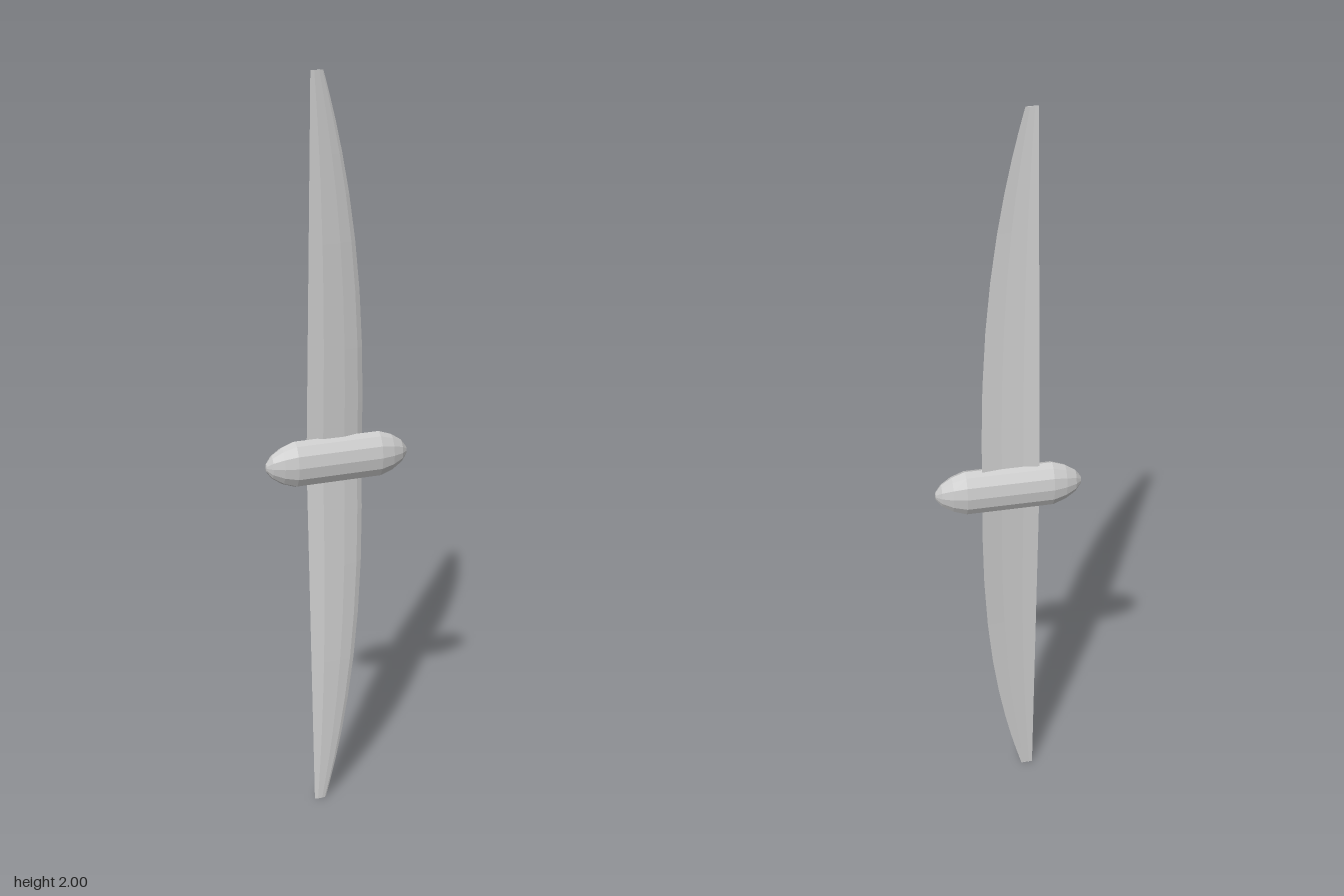
import * as THREE from 'three';

const material = new THREE.MeshStandardMaterial({ color: 0xcccccc, flatShading: true, side: THREE.DoubleSide });

// Skins a list of closed rings (equal point counts) and caps both ends.
function loft(rings) {
  const n = rings[0].length;
  const positions = rings.flat(2);
  const index = [];
  for (let r = 0; r < rings.length - 1; r++) {
    for (let i = 0; i < n; i++) {
      const j = (i + 1) % n;
      const a = r * n + i, b = r * n + j, c = a + n, d = b + n;
      index.push(a, c, b, b, c, d);
    }
  }
  const last = (rings.length - 1) * n;
  for (let i = 1; i < n - 1; i++) {
    index.push(0, i, i + 1, last, last + i + 1, last + i);
  }
  const geometry = new THREE.BufferGeometry();
  geometry.setAttribute('position', new THREE.Float32BufferAttribute(positions, 3));
  geometry.setIndex(index);
  geometry.computeVertexNormals();
  return geometry;
}

// Thin cambered section: [chord fraction from trailing edge, offset in z per chord]
const SECTION = [
  [0, 0], [0.27, 0.025], [0.65, 0.025], [1, 0], [0.9, 0.045], [0.65, 0.08], [0.27, 0.075],
];

// Blade: straight trailing edge, curved leading edge, both halves swept to +z
function bladeGeometry() {
  const spans = [0, 0.15, 0.3, 0.45, 0.58, 0.7, 0.8, 0.88, 0.94, 0.98, 1];
  const stations = [...spans.slice(1).reverse().map((s) => -s), ...spans];
  const trailing = -0.08;
  return loft(stations.map((t) => {
    const s = Math.abs(t);
    const chord = 0.072 - 0.12 * Math.pow(s, 2.5) - trailing;
    const z = -0.014 + 0.051 * s;
    return SECTION.map(([u, w]) => [trailing + u * chord, 1 + t, z + w * chord]);
  }));
}

// Pod: twelve-sided, with an elliptical section and tapered ends
function podGeometry() {
  const half = [[0, 0.195], [0.17, 0.193], [0.5, 0.178], [0.8, 0.15], [1, 0.115]];
  const profile = [
    ...half.map(([r, x]) => new THREE.Vector2(r, -x)),
    ...half.slice().reverse().map(([r, x]) => new THREE.Vector2(r, x)),
  ];
  const geometry = new THREE.LatheGeometry(profile, 12);
  geometry.rotateZ(-Math.PI / 2);
  geometry.scale(1, 0.063, 0.0385);
  geometry.translate(0, 1, -0.0035);
  return geometry;
}

export function createModel() {
  const model = new THREE.Group();
  model.name = 'sweptBladeWithPod';
  const parts = { blade: bladeGeometry(), pod: podGeometry() };
  for (const [name, geometry] of Object.entries(parts)) {
    const mesh = new THREE.Mesh(geometry, material);
    mesh.name = name;
    model.add(mesh);
  }
  return model;
}
